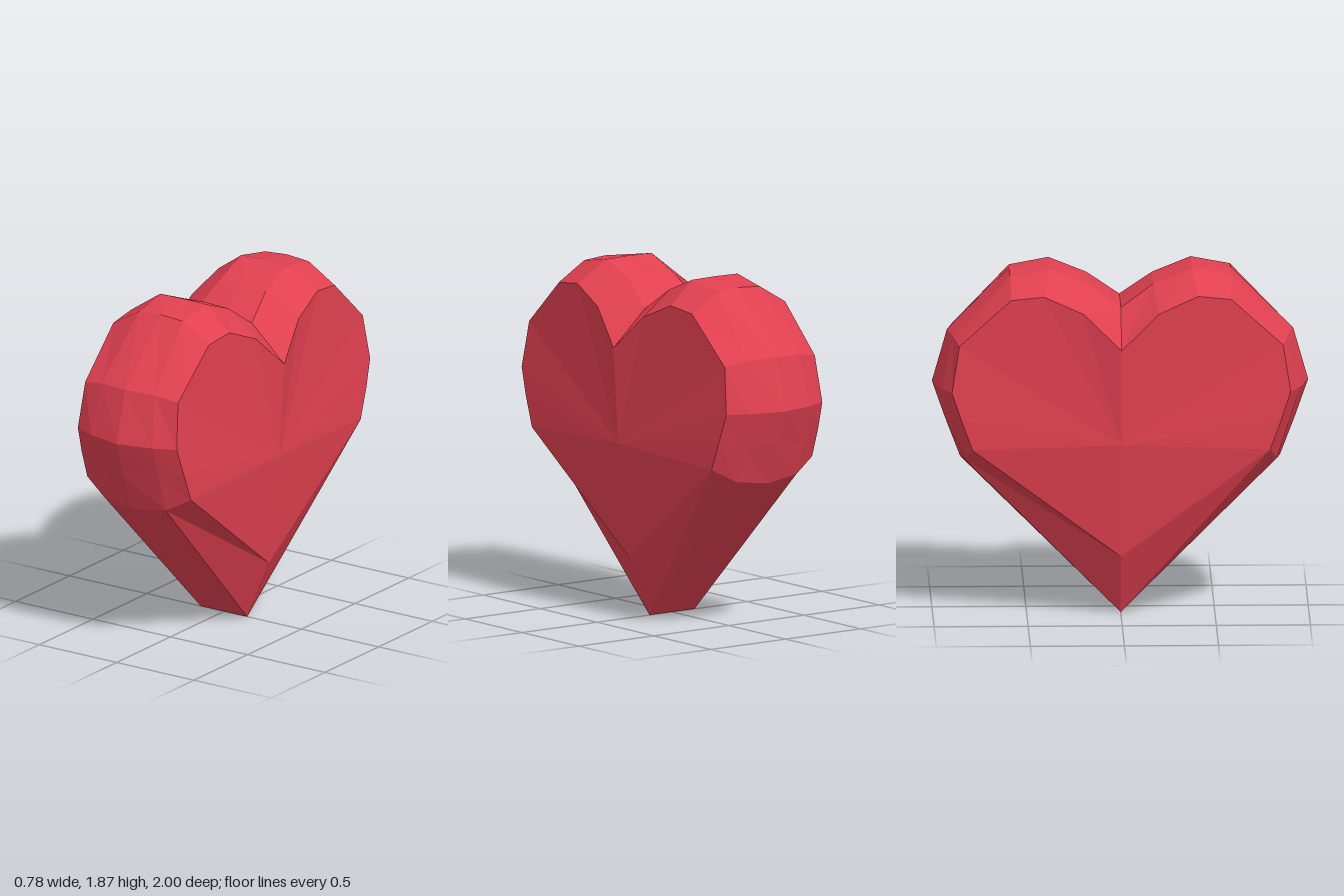
import * as THREE from 'three';

// Half outlines of the heart as [x, y, z], from the notch around one lobe to the tip
const middle = [
  [0, 1.67, 0], [0, 1.79, 0.17], [0, 1.87, 0.38], [0, 1.84, 0.59], [0, 1.51, 0.92],
  [0, 1.23, 1.0], [0, 1.03, 0.93], [0, 0.82, 0.85], [0, 0, 0],
];
const shoulder = [
  [0.18, 1.66, 0], [0.15, 1.785, 0.175], [0.15, 1.867, 0.378], [0.14, 1.83, 0.587], [0.17, 1.505, 0.89],
  [0.2, 1.23, 0.955], [0.2, 1.04, 0.892], [0.2, 0.845, 0.83], [0.15, 0, 0],
];
const rim = [
  [0.39, 1.47, 0], [0.345, 1.66, 0.2], [0.32, 1.75, 0.41], [0.31, 1.73, 0.585], [0.3, 1.48, 0.86],
  [0.32, 1.23, 0.9], [0.33, 1.08, 0.85], [0.335, 0.92, 0.79], [0.29, 0.33, 0],
];
const faceCentre = [0.36, 0.95, 0];

const mirrorX = ([x, y, z]) => [-x, y, z];

// Mirror a half outline across z to close the loop
function fullLoop(half) {
  const other = half.slice(1, -1).reverse().map(([x, y, z]) => [x, y, -z]);
  return [...half, ...other];
}

function heartGeometry() {
  const r = fullLoop(rim), s = fullLoop(shoulder), m = fullLoop(middle);
  const rings = [r.map(mirrorX), s.map(mirrorX), m, s, r];
  const n = m.length;
  const points = [];
  const tri = (a, b, c) => points.push(...a, ...b, ...c);

  for (let j = 0; j < n; j++) {
    const k = (j + 1) % n;
    // Rounded edge
    for (let i = 0; i < rings.length - 1; i++) {
      const a = rings[i], b = rings[i + 1];
      tri(a[j], a[k], b[k]);
      tri(a[j], b[k], b[j]);
    }
    // Broad side faces
    tri(faceCentre, r[j], r[k]);
    tri(mirrorX(faceCentre), rings[0][k], rings[0][j]);
  }

  const geometry = new THREE.BufferGeometry();
  geometry.setAttribute('position', new THREE.Float32BufferAttribute(points, 3));
  geometry.computeVertexNormals();
  return geometry;
}

export function createModel() {
  const red = new THREE.MeshStandardMaterial({ color: 0xe04050 });
  red.name = 'heart red';
  red.flatShading = true;

  const heart = new THREE.Mesh(heartGeometry(), red);
  heart.name = 'heart';

  const model = new THREE.Group();
  model.name = 'heartModel';
  model.add(heart);
  return model;
}
